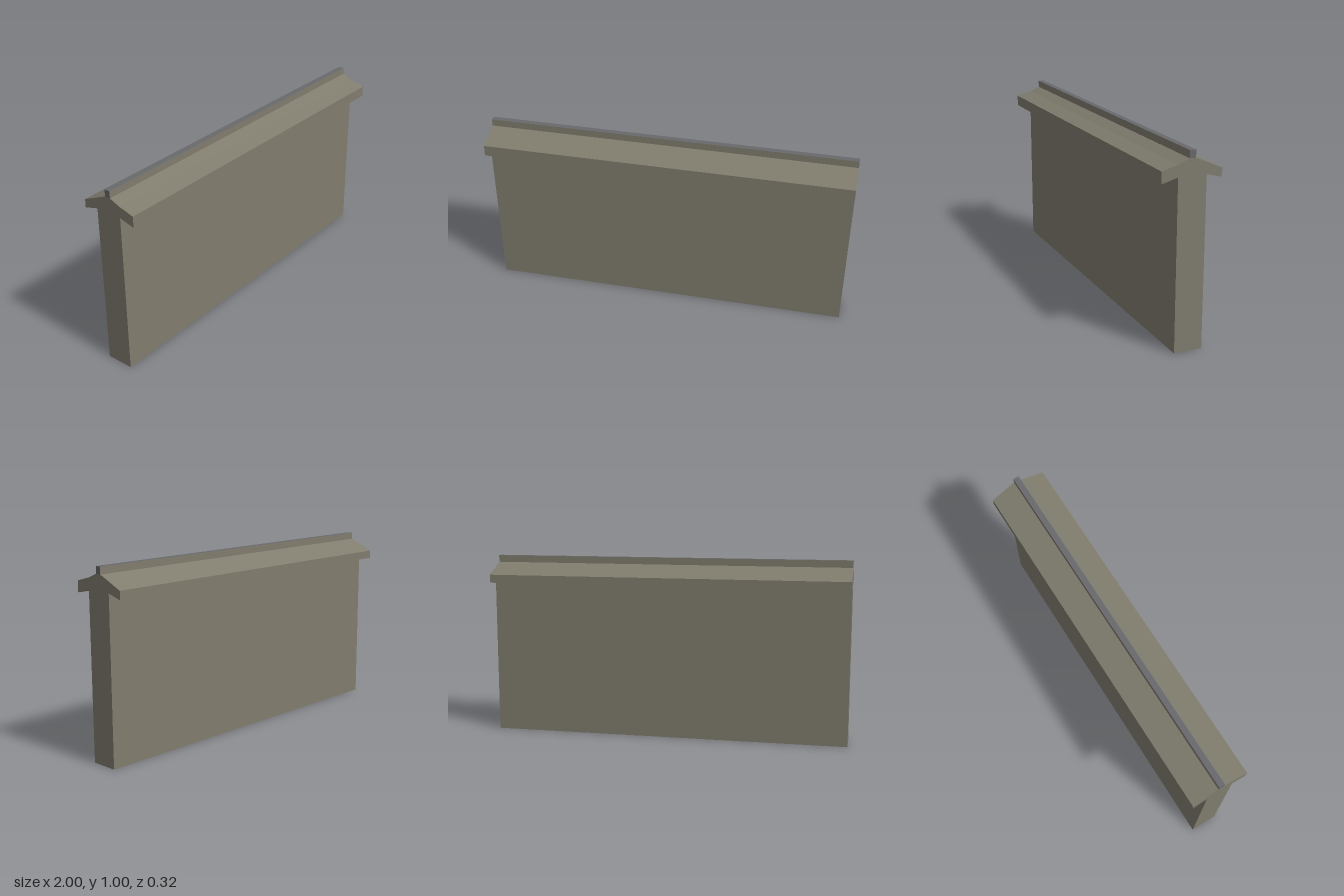
import * as THREE from 'three';

const HALF = 1; // half the wall length

// Cross-section as [z, y], from the front foot over the coping to the back foot
const PROFILE = [
  [0.075, 0], [0.075, 0.882], [0.16, 0.86], [0.16, 0.92], [0.075, 0.943], [0.016, 0.967],
  [-0.016, 0.967], [-0.157, 0.905], [-0.157, 0.86], [-0.075, 0.882], [-0.075, 0],
];

// Sweeps the section along x; the underside stays open
function sweepSection(section) {
  const pos = [];
  for (let i = 0; i < section.length - 1; i++) {
    const [az, ay] = section[i], [bz, by] = section[i + 1];
    pos.push(-HALF, ay, az, HALF, ay, az, HALF, by, bz);
    pos.push(-HALF, ay, az, HALF, by, bz, -HALF, by, bz);
  }
  const geo = new THREE.BufferGeometry();
  geo.setAttribute('position', new THREE.Float32BufferAttribute(pos, 3));
  geo.computeVertexNormals();
  return geo;
}

export function createModel() {
  const stone = new THREE.MeshStandardMaterial({ color: 0x807d6e, side: THREE.DoubleSide });
  stone.name = 'stone';
  const slate = new THREE.MeshStandardMaterial({ color: 0x68696d });
  slate.name = 'slate';

  const model = new THREE.Group();
  model.name = 'copedWall';
  const add = (name, geo, mat) => {
    const mesh = new THREE.Mesh(geo, mat);
    mesh.name = name;
    model.add(mesh);
    return mesh;
  };

  // Wall faces and sloped coping
  add('wallAndCoping', sweepSection(PROFILE), stone);

  // End faces, one per side
  for (const s of [1, -1]) {
    const shape = new THREE.Shape(PROFILE.map(([z, y]) => new THREE.Vector2(-s * z, y)));
    const end = add(s > 0 ? 'leftEnd' : 'rightEnd', new THREE.ShapeGeometry(shape), stone);
    end.rotation.y = s * Math.PI / 2;
    end.position.x = s * HALF;
  }

  // Ridge strip: slate top and ends, stone sides
  const ridge = add('ridge', new THREE.BoxGeometry(2 * HALF, 0.038, 0.032),
    [slate, slate, slate, slate, stone, stone]);
  ridge.position.y = 0.986;

  return model;
}
